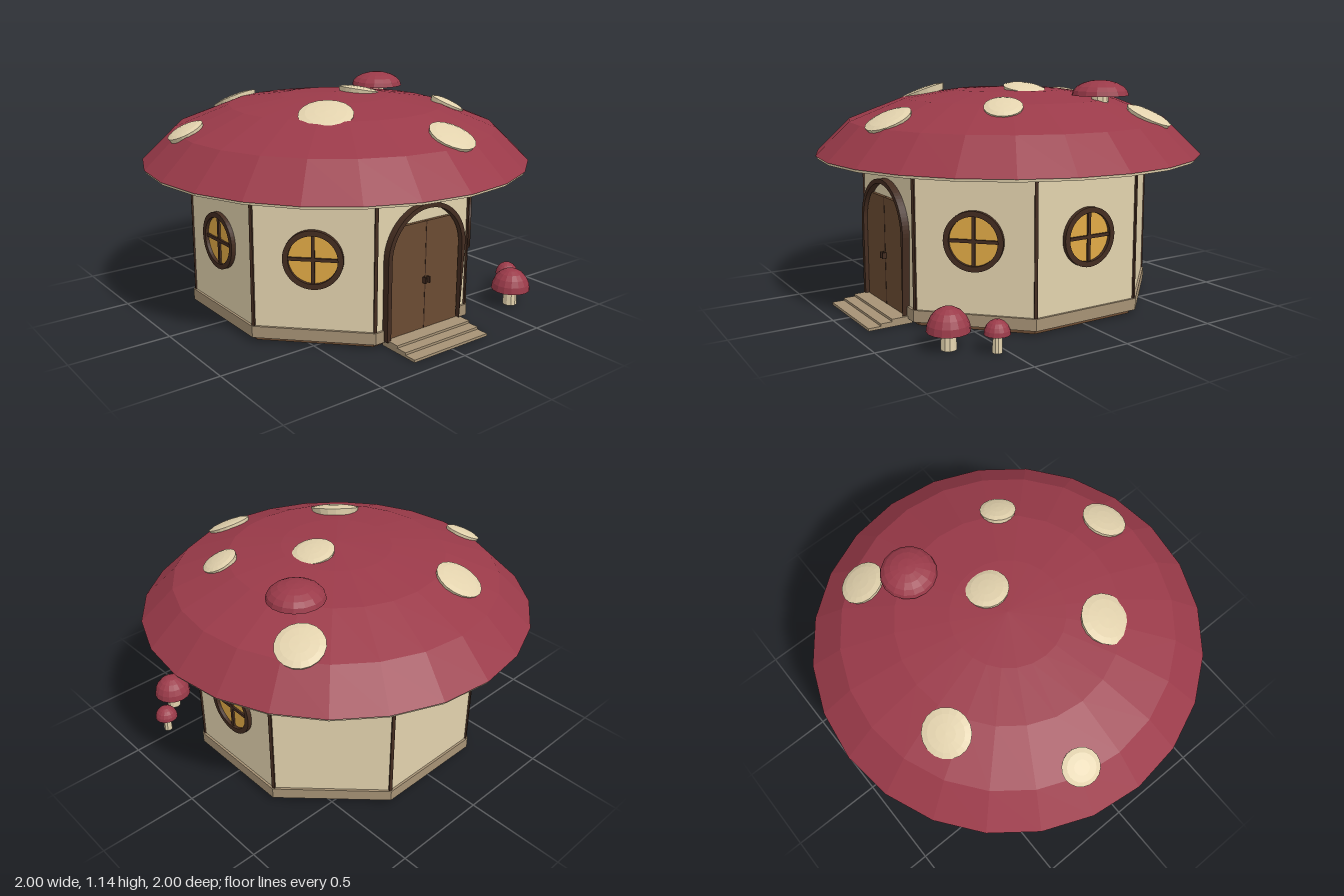
import * as THREE from 'three';

const mat = (name, color, opts = {}) => {
  const m = new THREE.MeshStandardMaterial({ color, ...opts });
  m.name = name;
  return m;
};

export function createModel() {
  const M = {
    red: mat('cap red', 0x9a3a49, { flatShading: true }),
    cream: mat('cream plaster', 0xe2d2ad, { flatShading: true }),
    stone: mat('tan stone', 0xa69275, { flatShading: true }),
    wood: mat('door brown', 0x6a4b32, { flatShading: true }),
    dark: mat('dark timber', 0x432c20, { flatShading: true }),
    amber: mat('amber glass', 0xe0aa46, { flatShading: true }),
  };
  const model = new THREE.Group();
  model.name = 'mushroomHouse';

  const add = (parent, name, geo, material, x = 0, y = 0, z = 0) => {
    const mesh = new THREE.Mesh(geo, material);
    mesh.name = name;
    mesh.position.set(x, y, z);
    parent.add(mesh);
    return mesh;
  };
  const group = (name, parent = model) => {
    const g = new THREE.Group();
    g.name = name;
    parent.add(g);
    return g;
  };
  const box = (w, h, d) => new THREE.BoxGeometry(w, h, d);
  const lathe = (pts, n) => new THREE.LatheGeometry(pts.map(p => new THREE.Vector2(...p)), n);

  // Eight-sided body, given by the distance to its flat faces
  const octagon = (name, bottomA, topA, y0, y1, material) => {
    const k = 1 / Math.cos(Math.PI / 8);
    const geo = new THREE.CylinderGeometry(topA * k, bottomA * k, y1 - y0, 8, 1, false, Math.PI / 8);
    return add(model, name, geo, material, 0, (y0 + y1) / 2, 0);
  };
  octagon('foundation', 0.678, 0.678, 0, 0.03, M.wood);
  octagon('skirting', 0.712, 0.712, 0.025, 0.083, M.stone);
  octagon('walls', 0.7, 0.7, 0.08, 0.76, M.cream);

  // Thin timber strips on the wall corners
  for (let i = 0; i < 8; i++) {
    const a = Math.PI / 8 + i * Math.PI / 4;
    const post = add(model, 'cornerPost', box(0.016, 0.735, 0.016), M.dark,
      Math.sin(a) * 0.755, 0.3925, Math.cos(a) * 0.755);
    post.rotation.y = a;
  }

  // Roof cap with a pale underside and rim
  const roofProfile = [[1, 0.77], [0.83, 0.935], [0.55, 1.045], [0.28, 1.085], [0, 1.1]];
  add(model, 'roofCap', lathe(roofProfile, 24), M.red);
  add(model, 'roofUnderside', lathe([[0, 0.757], [0.992, 0.757], [0.994, 0.77]], 24), M.cream);

  const roofHeight = r => {
    for (let i = 1; i < roofProfile.length; i++) {
      const [r0, y0] = roofProfile[i - 1], [r1, y1] = roofProfile[i];
      if (r >= r1) return y0 + (y1 - y0) * (r0 - r) / (r0 - r1);
    }
    return 1.1;
  };

  // Pale domed spots lying on the roof: x, z, radius
  const spots = [
    [-0.265, -0.58, 0.122], [0.62, -0.43, 0.118], [-0.77, -0.19, 0.094], [0.155, 0, 0.107],
    [-0.315, 0.35, 0.132], [0.485, 0.33, 0.092], [0.125, 0.74, 0.117],
  ];
  for (const [x, z, r] of spots) {
    const d = Math.hypot(x, z);
    const slope = Math.min(0.46, 0.1 + 0.6 * d);
    const geo = lathe([[r * 0.9, -0.03], [r, 0.004], [r * 0.75, 0.013], [r * 0.4, 0.018], [0, 0.02]], 18);
    const spot = add(model, 'roofSpot', geo, M.cream, x, roofHeight(d) + 0.006, z);
    const normal = new THREE.Vector3(x / d * slope, 1, z / d * slope).normalize();
    spot.quaternion.setFromUnitVectors(new THREE.Vector3(0, 1, 0), normal);
  }

  // Small mushrooms: stem from y0 to capY, domed cap above
  const mushroom = (name, x, z, y0, capY, capR, capH, stemR) => {
    const g = group(name);
    g.position.set(x, 0, z);
    const pts = [[0, 0]];
    for (let i = 0; i <= 5; i++) {
      const t = i / 5 * Math.PI / 2;
      pts.push([i === 5 ? 0 : capR * Math.cos(t), capH * Math.sin(t)]);
    }
    add(g, 'mushroomCap', lathe(pts, 16), M.red, 0, capY, 0);
    const h = capY + 0.01 - y0;
    add(g, 'mushroomStem', new THREE.CylinderGeometry(stemR * 0.9, stemR, h, 10), M.cream, 0, y0 + h / 2, 0);
  };
  mushroom('largeMushroom', 0.63, 0.705, 0, 0.085, 0.1, 0.11, 0.037);
  mushroom('smallMushroom', 0.778, 0.545, 0, 0.085, 0.06, 0.066, 0.023);
  mushroom('roofMushroom', 0.475, -0.238, 1.0, 1.07, 0.141, 0.075, 0.045);

  // Round windows on both sides and both front diagonals
  const ringShape = new THREE.Shape().absarc(0, 0, 0.143, 0, Math.PI * 2, false);
  ringShape.holes.push(new THREE.Path().absarc(0, 0, 0.117, 0, Math.PI * 2, true));
  const ringGeo = new THREE.ExtrudeGeometry(ringShape, { depth: 0.022, bevelEnabled: false, curveSegments: 24 });
  for (const a of [-2, -1, 1, 2].map(i => i * Math.PI / 4)) {
    const w = group('window');
    w.position.set(Math.sin(a) * 0.7, 0.432, Math.cos(a) * 0.7);
    w.rotation.y = a;
    add(w, 'windowFrame', ringGeo, M.dark);
    add(w, 'windowGlass', new THREE.CircleGeometry(0.122, 24), M.amber, 0, 0, 0.005);
    add(w, 'windowBar', box(0.016, 0.24, 0.01), M.dark, 0, 0, 0.01);
    add(w, 'windowBar', box(0.24, 0.016, 0.01), M.dark, 0, 0, 0.01);
  }

  // Arched door frame
  const door = group('doorway');
  const archY = 0.425, outer = 0.245, inner = 0.222, foot = 0.03;
  const arch = new THREE.Shape();
  arch.moveTo(outer, foot);
  arch.absarc(0, archY, outer, 0, Math.PI, false);
  arch.lineTo(-outer, foot);
  arch.lineTo(-inner, foot);
  arch.absarc(0, archY, inner, Math.PI, 0, true);
  arch.lineTo(inner, foot);
  add(door, 'doorFrame', new THREE.ExtrudeGeometry(arch, { depth: 0.038, bevelEnabled: false, curveSegments: 20 }),
    M.dark, 0, 0, 0.698);

  // Double door leaves, upper corners following the arch
  const leaf = new THREE.Shape();
  const doorR = 0.215, topY = 0.58, topAngle = Math.asin((topY - archY) / doorR);
  leaf.moveTo(0.002, foot);
  leaf.lineTo(doorR, foot);
  leaf.absarc(0, archY, doorR, 0, topAngle, false);
  leaf.lineTo(0.002, topY);
  const leafGeo = new THREE.ExtrudeGeometry(leaf, { depth: 0.02, bevelEnabled: false });
  add(door, 'doorLeaf', leafGeo, M.wood, 0, 0, 0.698);
  add(door, 'doorLeaf', leafGeo, M.wood, 0, 0, 1.416).rotation.y = Math.PI;
  door.children[2].position.z = 0.718;
  add(door, 'doorGap', box(0.005, topY - foot, 0.008), M.dark, 0, (topY + foot) / 2, 0.715);
  for (const s of [-1, 1]) add(door, 'doorHandle', box(0.008, 0.03, 0.022), M.dark, s * 0.012, 0.288, 0.729);

  // Three shallow steps
  [[0.915, 0.013], [0.853, 0.025], [0.795, 0.037]].forEach(([front, top], i) => {
    const y0 = i * 0.012;
    add(model, 'step', box(0.47, top - y0, front - 0.69), M.stone, 0, (top + y0) / 2, (front + 0.69) / 2);
  });

  return model;
}
